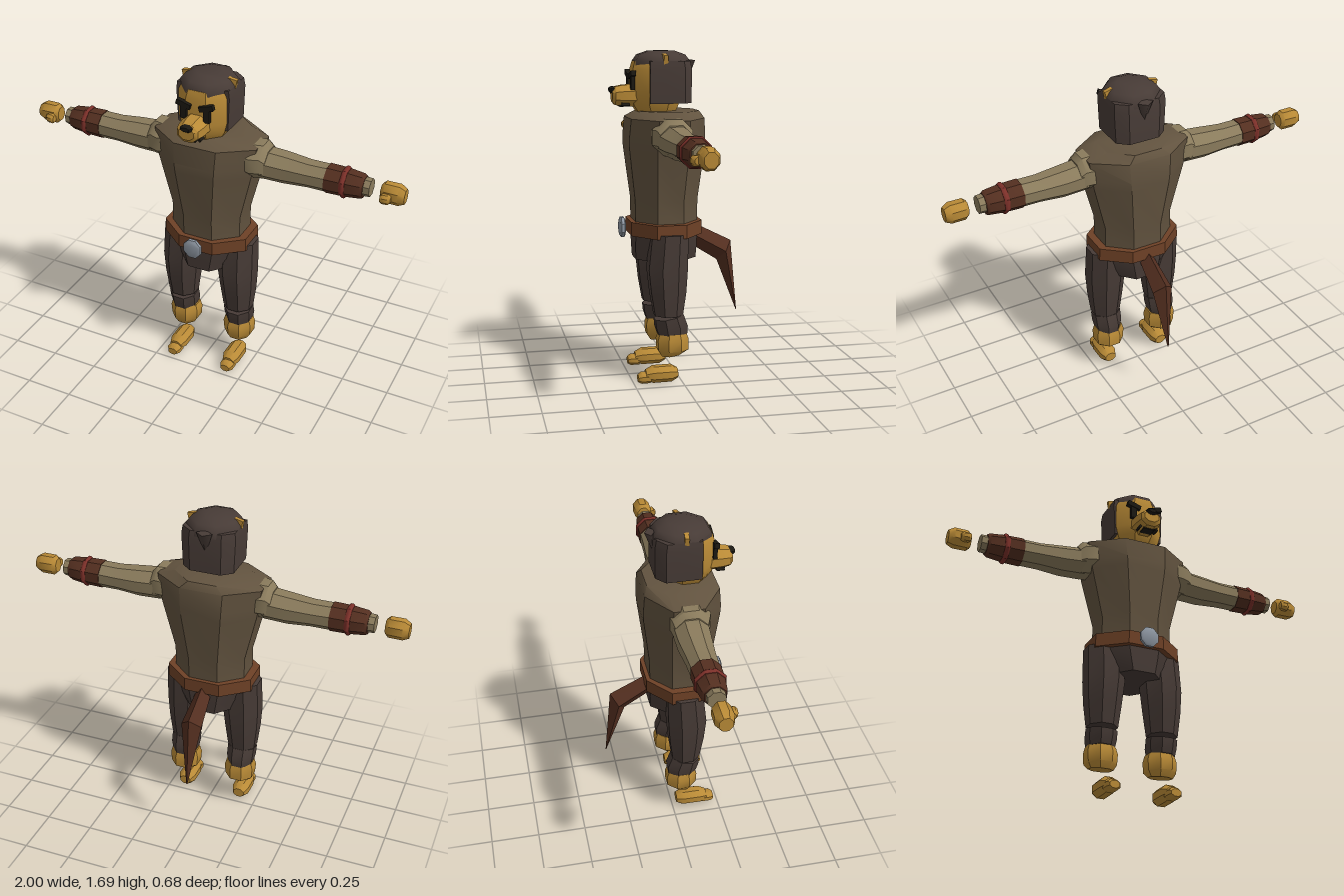
import * as THREE from 'three';
import { toCreasedNormals } from 'three/addons/utils/BufferGeometryUtils.js';

const mat = (name, color) => {
  const m = new THREE.MeshStandardMaterial({ color });
  m.name = name;
  return m;
};

// Eight-cornered cross-section outline with half sizes a and b
function octagon(a, b, k = 0.41) {
  return [[a, b * k], [a * k, b], [-a * k, b], [-a, b * k],
    [-a, -b * k], [-a * k, -b], [a * k, -b], [a, -b * k]];
}

// Ring facing up: y, centre x, centre z, half width, half depth, forward tilt
const ringY = ([y, x, z, rx, rz, tilt = 0]) =>
  octagon(rx, rz).map(([a, b]) => new THREE.Vector3(x + a, y + b * tilt, z + b));
// Ring facing sideways: x, centre y, centre z, half height, half depth
const ringX = ([x, y, z, ry, rz]) =>
  octagon(ry, rz).map(([a, b]) => new THREE.Vector3(x, y + a, z + b));
// Ring facing forward: z, centre x, centre y, half width, half height
const ringZ = ([z, x, y, rx, ry]) =>
  octagon(rx, ry).map(([a, b]) => new THREE.Vector3(x + a, y + b, z));

// Skin a list of rings and close both ends, with outward faces
function loft(rings, crease = 0.6) {
  const tris = [];
  const n = rings[0].length;
  for (let r = 0; r < rings.length - 1; r++) {
    for (let i = 0; i < n; i++) {
      const j = (i + 1) % n;
      const a = rings[r][i], b = rings[r][j], c = rings[r + 1][j], d = rings[r + 1][i];
      tris.push([a, b, c], [a, c, d]);
    }
  }
  const first = rings[0], last = rings[rings.length - 1];
  for (let i = 1; i < n - 1; i++) {
    tris.push([first[0], first[i + 1], first[i]], [last[0], last[i], last[i + 1]]);
  }
  let volume = 0;
  for (const [a, b, c] of tris) volume += a.dot(b.clone().cross(c));
  const points = tris.flatMap(([a, b, c]) => (volume < 0 ? [a, c, b] : [a, b, c]));
  const geo = new THREE.BufferGeometry().setFromPoints(points);
  geo.computeVertexNormals();
  return toCreasedNormals(geo, crease);
}

export function createModel() {
  const root = new THREE.Group();
  root.name = 'figure';
  const fur = mat('golden fur', 0xb98a36);
  const dark = mat('dark brown', 0x473b36);
  const vest = mat('vest brown', 0x62533f);
  const sleeveTan = mat('sleeve tan', 0x8a7b5c);
  const leather = mat('belt leather', 0x6e4126);
  const maroon = mat('dark leather', 0x542f20);
  const red = mat('red band', 0x7c3029);
  const steel = mat('buckle steel', 0x8f98a3);
  const black = mat('black', 0x1b1812);

  const add = (parent, name, geo, material) => {
    const mesh = new THREE.Mesh(geo, material);
    mesh.name = name;
    parent.add(mesh);
    return mesh;
  };
  const box = (parent, name, size, pos, material, rz = 0) => {
    const mesh = add(parent, name, new THREE.BoxGeometry(...size), material);
    mesh.position.set(...pos);
    mesh.rotation.z = rz;
    return mesh;
  };

  // Body
  add(root, 'torso', loft([
    [0.81, 0, 0.06, 0.19, 0.16], [0.94, 0, 0.06, 0.19, 0.162], [1.2, 0, 0.06, 0.253, 0.193],
    [1.25, 0, 0.06, 0.262, 0.195], [1.355, 0, 0.058, 0.275, 0.187], [1.39, 0, 0.04, 0.18, 0.15],
  ].map(ringY)), vest);
  add(root, 'hips', loft([
    [0.63, 0, 0.06, 0.145, 0.157], [0.7, 0, 0.06, 0.175, 0.16], [0.77, 0, 0.06, 0.2, 0.16],
  ].map(ringY)), dark);
  add(root, 'belt', loft([[0.76, 0, 0.062, 0.23, 0.183], [0.83, 0, 0.062, 0.228, 0.183]].map(ringY)), leather);
  add(root, 'buckle', loft([
    [0.263, 0, 0.793, 0.036, 0.04], [0.27, 0, 0.793, 0.047, 0.051],
    [0.285, 0, 0.793, 0.047, 0.051], [0.292, 0, 0.793, 0.036, 0.04],
  ].map(ringZ)), steel);

  // Bent tail: diamond sections running back and then down to a point
  const tailRing = ([topY, topZ, lowY, lowZ, w]) => [
    new THREE.Vector3(0, topY, topZ), new THREE.Vector3(w, (topY + lowY) / 2, (topZ + lowZ) / 2),
    new THREE.Vector3(0, lowY, lowZ), new THREE.Vector3(-w, (topY + lowY) / 2, (topZ + lowZ) / 2),
  ];
  add(root, 'tail', loft([
    [0.79, -0.12, 0.685, -0.09, 0.042], [0.7, -0.3, 0.6, -0.225, 0.055],
    [0.325, -0.335, 0.322, -0.332, 0.003],
  ].map(tailRing), 0.1), maroon);

  // Head
  const head = new THREE.Group();
  head.name = 'head';
  root.add(head);
  add(head, 'face', loft([
    [1.375, 0, 0.1, 0.09, 0.09], [1.42, 0, 0.105, 0.115, 0.115], [1.47, 0, 0.105, 0.128, 0.12],
    [1.6, 0, 0.105, 0.128, 0.12], [1.64, 0, 0.105, 0.11, 0.108],
  ].map(ringY)), fur);
  add(head, 'hairBack', loft([
    [1.43, 0, 0.04, 0.133, 0.11], [1.6, 0, 0.042, 0.14, 0.112], [1.64, 0, 0.045, 0.135, 0.107],
  ].map(([y, x, z, w, d]) => octagon(w, d, 0.6).map(([a, b]) =>
    // square off the front edge beside the face
    new THREE.Vector3(x + (b > 0 ? Math.sign(a) * w : a), y, b > 0 ? 0.152 : z + b)))), dark);
  add(head, 'hairTop', loft([
    [1.605, 0, 0.073, 0.139, 0.141], [1.64, 0, 0.073, 0.135, 0.138],
    [1.67, 0, 0.073, 0.112, 0.118], [1.69, 0, 0.073, 0.06, 0.065],
  ].map(ringY), 0.9), dark);
  const tuft = new THREE.ConeGeometry(0.042, 0.12, 4);
  const tuftMesh = add(head, 'hairTuft', tuft, dark);
  tuftMesh.scale.z = 0.65;
  tuftMesh.position.set(0, 1.585, -0.07);
  tuftMesh.rotation.x = Math.PI - 0.15;

  add(head, 'muzzle', loft([
    [0.2, 0, 1.468, 0.066, 0.056], [0.27, 0, 1.467, 0.063, 0.053],
    [0.312, 0, 1.466, 0.055, 0.046], [0.326, 0, 1.468, 0.04, 0.03],
  ].map(ringZ)), fur);
  add(head, 'nose', loft([
    [0.31, 0, 1.495, 0.03, 0.017], [0.328, 0, 1.496, 0.03, 0.017], [0.34, 0, 1.497, 0.02, 0.01],
  ].map(ringZ)), black);
  box(head, 'mouth', [0.06, 0.009, 0.05], [0, 1.416, 0.265], black);

  for (const s of [1, -1]) {
    box(head, 'eye', [0.032, 0.075, 0.02], [s * 0.06, 1.535, 0.228], black);
    box(head, 'brow', [0.075, 0.026, 0.025], [s * 0.06, 1.572, 0.23], black, s * 0.28);
    box(head, 'mouthCorner', [0.012, 0.03, 0.04], [s * 0.042, 1.428, 0.262], black, s * 0.7);
    const ear = box(head, 'ear', [0.045, 0.05, 0.022], [s * 0.118, 1.648, 0.075], fur, s * -0.2);
    ear.rotation.y = s * 0.1;

    // Arms, stretched to the side
    const arm = new THREE.Group();
    arm.name = s > 0 ? 'leftArm' : 'rightArm';
    root.add(arm);
    const along = (name, list, material) =>
      add(arm, name, loft(list.map(([x, ...rest]) => ringX([s * x, ...rest])), 0.7), material);
    along('shoulder', [
      [0.2, 1.28, 0.07, 0.08, 0.09], [0.25, 1.275, 0.068, 0.09, 0.1],
      [0.295, 1.275, 0.062, 0.09, 0.09], [0.32, 1.262, 0.06, 0.075, 0.08],
    ], sleeveTan);
    along('sleeve', [
      [0.28, 1.258, 0.06, 0.075, 0.085], [0.4, 1.252, 0.055, 0.072, 0.08],
      [0.52, 1.25, 0.055, 0.062, 0.07], [0.63, 1.25, 0.055, 0.063, 0.066],
    ], sleeveTan);
    along('forearmCuff', [
      [0.615, 1.25, 0.055, 0.067, 0.07], [0.71, 1.25, 0.055, 0.065, 0.067],
      [0.79, 1.25, 0.055, 0.057, 0.057], [0.802, 1.25, 0.055, 0.05, 0.05],
    ], maroon);
    along('wristSleeve', [[0.79, 1.252, 0.055, 0.044, 0.044], [0.833, 1.252, 0.055, 0.042, 0.042]], sleeveTan);
    along('cuffBand', [
      [0.692, 1.25, 0.055, 0.068, 0.069], [0.7, 1.25, 0.055, 0.073, 0.074],
      [0.71, 1.25, 0.055, 0.073, 0.074], [0.718, 1.25, 0.055, 0.067, 0.068],
    ], red);
    along('hand', [
      [0.883, 1.25, 0.055, 0.035, 0.03], [0.9, 1.25, 0.055, 0.05, 0.043],
      [0.97, 1.25, 0.055, 0.05, 0.045], [1.0, 1.248, 0.055, 0.035, 0.032],
    ], fur);
    along('thumb', [
      [0.893, 1.24, 0.108, 0.018, 0.015], [0.903, 1.24, 0.107, 0.024, 0.021],
      [0.93, 1.24, 0.104, 0.024, 0.021], [0.942, 1.24, 0.1, 0.016, 0.014],
    ], fur);

    // Legs
    const leg = new THREE.Group();
    leg.name = s > 0 ? 'leftLeg' : 'rightLeg';
    root.add(leg);
    const down = (name, list, material) =>
      add(leg, name, loft(list.map(([y, x, ...rest]) => ringY([y, s * x, ...rest])), 0.7), material);
    down('thigh', [
      [0.78, 0.153, 0.062, 0.098, 0.092], [0.6, 0.158, 0.074, 0.098, 0.1],
      [0.48, 0.162, 0.072, 0.088, 0.09], [0.36, 0.163, 0.07, 0.074, 0.072],
    ], dark);
    down('shin', [
      [0.35, 0.163, 0.068, 0.073, 0.072, -0.18], [0.3, 0.163, 0.055, 0.072, 0.082],
      [0.26, 0.163, 0.05, 0.065, 0.075],
    ], dark);
    down('ankle', [
      [0.265, 0.16, 0.048, 0.07, 0.068], [0.23, 0.16, 0.048, 0.079, 0.08],
      [0.175, 0.16, 0.047, 0.075, 0.078], [0.15, 0.16, 0.05, 0.058, 0.055, -0.15],
    ], fur);
    const forward = (name, list) =>
      add(leg, name, loft(list.map(([z, x, ...rest]) => ringZ([z, s * x, ...rest])), 0.7), fur);
    forward('foot', [
      [0.022, 0.16, 0.045, 0.03, 0.025], [0.055, 0.16, 0.046, 0.045, 0.042],
      [0.15, 0.16, 0.045, 0.045, 0.042], [0.188, 0.16, 0.042, 0.032, 0.026],
    ]);
    forward('toe', [
      [0.165, 0.16, 0.029, 0.036, 0.027], [0.21, 0.16, 0.029, 0.036, 0.028], [0.228, 0.16, 0.027, 0.026, 0.018],
    ]);
  }
  return root;
}
